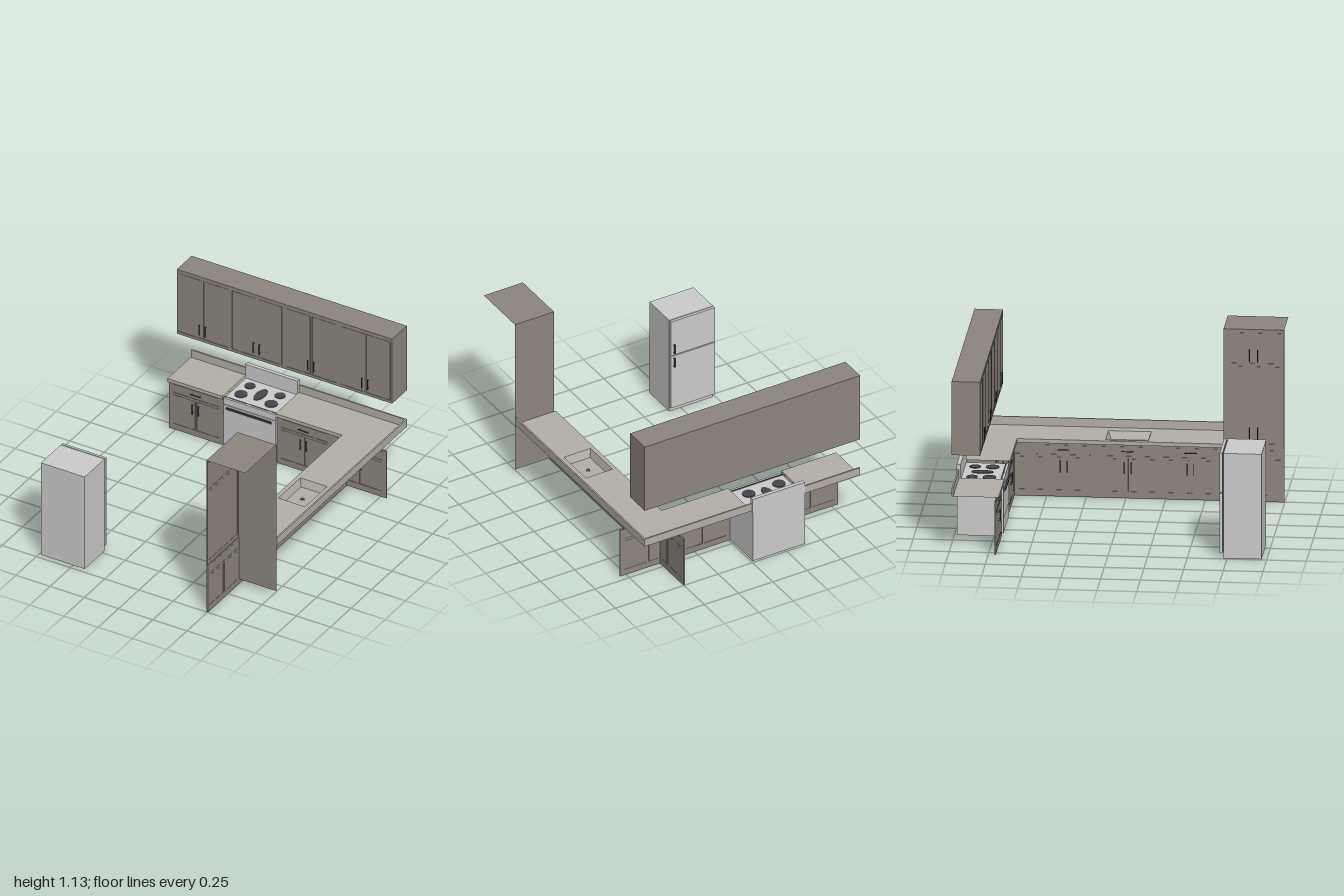
import * as THREE from 'three';

const mat = (color) => new THREE.MeshStandardMaterial({ color, side: THREE.DoubleSide });
const WOOD = mat(0x8d867d), STONE = mat(0xb4afa6), STEEL = mat(0xcccccc), DARK = mat(0x45454a);

function add(parent, name, geometry, material) {
  const mesh = new THREE.Mesh(geometry, material);
  mesh.name = name;
  parent.add(mesh);
  return mesh;
}

// Box between two corners; skip lists open sides (0 +x, 1 -x, 2 +y, 3 -y, 4 +z, 5 -z)
function box(x0, x1, y0, y1, z0, z1, skip = []) {
  const g = new THREE.BoxGeometry(x1 - x0, y1 - y0, z1 - z0);
  g.translate((x0 + x1) / 2, (y0 + y1) / 2, (z0 + z1) / 2);
  const index = Array.from(g.index.array).filter((_, i) => !skip.includes(Math.floor(i / 6)));
  g.setIndex(index);
  g.clearGroups();
  return g;
}

function outline(points, Type = THREE.Shape) {
  return new Type(points.map(([x, y]) => new THREE.Vector2(x, y)));
}
const rect = (x0, x1, y0, y1) => [[x0, y0], [x1, y0], [x1, y1], [x0, y1]];

// Bar handle on two posts, standing off a face at local z = 0.008
function handle(parent, u, y, length, vertical) {
  const g = new THREE.Group();
  g.name = 'handle';
  const bar = add(g, 'handleBar', new THREE.CylinderGeometry(0.003, 0.003, length, 8), DARK);
  bar.position.z = 0.02;
  for (const s of [-1, 1]) {
    const post = add(g, 'handlePost', new THREE.CylinderGeometry(0.002, 0.002, 0.014, 8), DARK);
    post.rotation.x = Math.PI / 2;
    post.position.set(0, s * length * 0.38, 0.013);
  }
  if (!vertical) g.rotation.z = Math.PI / 2;
  g.position.set(u, y, 0);
  parent.add(g);
}

// Face frame with recessed panels; it faces local +z
function fascia(name, u0, u1, y0, y1, panels, handles) {
  const g = new THREE.Group();
  g.name = name;
  const shape = outline(rect(u0, u1, y0, y1));
  for (const p of panels) shape.holes.push(outline(rect(...p), THREE.Path));
  add(g, name + 'Frame', new THREE.ExtrudeGeometry(shape, { depth: 0.008, bevelEnabled: false }), WOOD);
  for (const [a, b, c, d] of panels) {
    add(g, 'doorPanel', box(a, b, c, d, 0.002, 0.005), WOOD);
    const m = 0.004;
    add(g, 'doorFace', box(a + m, b - m, c + m, d - m, 0.001, 0.007), WOOD);
  }
  for (const h of handles) handle(g, ...h);
  return g;
}

// Base cabinet fronts: a drawer above a pair of doors at each centre
function baseFascia(name, u0, u1, centres) {
  const panels = [], handles = [];
  for (const c of centres) {
    panels.push([c - 0.17, c + 0.17, 0.275, 0.34]);
    handles.push([c, 0.308, 0.075, false]);
    for (const s of [-1, 1]) {
      const e = [c + s * 0.004, c + s * 0.17].sort((a, b) => a - b);
      panels.push([e[0], e[1], 0.043, 0.26]);
      handles.push([c + s * 0.022, 0.2, 0.075, true]);
    }
  }
  return fascia(name, u0, u1, 0, 0.35, panels, handles);
}

function upperCabinets() {
  const g = new THREE.Group();
  g.name = 'upperCabinets';
  add(g, 'upperCarcass', box(-0.797, 0.775, 0.648, 1.13, -0.98, -0.808), WOOD);
  const panels = [], handles = [];
  for (let i = 0; i < 4; i++) {
    const c = -0.607 + i * 0.396;
    for (const s of [-1, 1]) {
      const e = [c + s * 0.005, c + s * 0.183].sort((a, b) => a - b);
      panels.push([e[0], Math.min(e[1], 0.77), 0.668, 1.105]);
      handles.push([c + s * 0.022, 0.737, 0.075, true]);
    }
  }
  const front = fascia('upperFronts', -0.797, 0.775, 0.648, 1.13, panels, handles);
  front.position.z = -0.808;
  g.add(front);
  return g;
}

function pantry() {
  const g = new THREE.Group();
  g.name = 'pantry';
  // Only top and one side; open at the wall sides
  add(g, 'pantryShell', box(0.495, 0.775, 0.035, 1.13, 0.615, 0.997, [0, 1, 3, 4]), WOOD);
  const c = 0.805, panels = [], handles = [];
  for (const s of [-1, 1]) {
    const e = [c + s * 0.005, c + s * 0.175].sort((a, b) => a - b);
    panels.push([e[0], e[1], 0.38, 0.89], [e[0], e[1], 0.908, 1.11]);
    handles.push([c + s * 0.025, 0.45, 0.08, true], [c + s * 0.025, 0.96, 0.08, true]);
  }
  const front = fascia('pantryFronts', 0.615, 0.997, 0.35, 1.13, panels, handles);
  front.rotation.y = -Math.PI / 2;
  front.position.x = 0.498;
  g.add(front);
  return g;
}

function countertop() {
  const g = new THREE.Group();
  g.name = 'countertop';
  const top = 0.377, low = 0.352;
  // Flat sheets drawn in (x, -z)
  const left = outline(rect(-0.797, -0.395, 0.685, 0.98));
  const corner = outline([[-0.008, 0.98], [-0.008, 0.685], [0.477, 0.685], [0.477, -0.613], [0.777, -0.613], [0.777, 0.98]]);
  corner.holes.push(outline(rect(0.505, 0.7, -0.14, 0.13), THREE.Path));
  add(g, 'counterSheet', new THREE.ShapeGeometry([left, corner]).rotateX(-Math.PI / 2).translate(0, top, 0), STONE);
  // Front edges
  add(g, 'frontEdge', box(-0.797, -0.395, low, top, -0.688, -0.685), STONE);
  add(g, 'frontEdge', box(-0.008, 0.477, low, top, -0.688, -0.685), STONE);
  add(g, 'frontEdge', box(0.477, 0.48, low, top, -0.685, 0.613), STONE);
  // Backsplashes
  add(g, 'backsplash', box(-0.797, -0.395, top, 0.432, -0.98, -0.97), STONE);
  add(g, 'backsplash', box(-0.008, 0.777, top, 0.432, -0.98, -0.97), STONE);
  add(g, 'backsplash', box(0.767, 0.777, top, 0.432, -0.97, 0.613), STONE);
  // Sink basin tapering downwards
  const basin = box(0.505, 0.7, 0.325, top, -0.13, 0.14, [2]);
  const p = basin.attributes.position;
  for (let i = 0; i < p.count; i++) {
    if (p.getY(i) > 0.35) continue;
    p.setX(i, 0.6025 + (p.getX(i) - 0.6025) * 0.84);
    p.setZ(i, 0.005 + (p.getZ(i) - 0.005) * 0.86);
  }
  basin.computeVertexNormals();
  add(g, 'sinkBasin', basin, STONE);
  add(g, 'sinkDrain', new THREE.CylinderGeometry(0.018, 0.014, 0.012, 20).translate(0.602, 0.321, 0.005), STONE);
  add(g, 'drainHole', new THREE.CylinderGeometry(0.012, 0.012, 0.002, 20).translate(0.602, 0.328, 0.005), DARK);
  return g;
}

function stove() {
  const g = new THREE.Group();
  g.name = 'stove';
  add(g, 'stoveBody', box(-0.39, -0.012, 0, 0.362, -0.985, -0.705), STEEL);
  add(g, 'controlPanel', box(-0.393, -0.01, 0.32, 0.365, -0.705, -0.69), STEEL);
  add(g, 'ovenDoor', box(-0.39, -0.012, 0.022, 0.315, -0.705, -0.69), STEEL);
  add(g, 'ovenWindow', box(-0.37, -0.035, 0.117, 0.283, -0.69, -0.688), STEEL);
  add(g, 'ovenHandle', box(-0.368, -0.038, 0.293, 0.303, -0.688, -0.678), DARK);
  add(g, 'backGuard', box(-0.393, -0.01, 0.36, 0.465, -0.985, -0.96), STEEL);
  add(g, 'cooktopTrim', box(-0.393, -0.01, 0.362, 0.366, -0.712, -0.702), DARK);
  for (const [x, z, r, s] of [[-0.32, -0.785, 0.042, 1], [-0.1, -0.785, 0.042, 1],
    [-0.32, -0.895, 0.035, 1], [-0.1, -0.895, 0.035, 1], [-0.21, -0.84, 0.033, 2.1]]) {
    const burner = add(g, 'burner', new THREE.CylinderGeometry(r, r, 0.004, 28), DARK);
    burner.scale.z = s;
    burner.position.set(x, 0.364, z);
  }
  return g;
}

function refrigerator() {
  const g = new THREE.Group();
  g.name = 'refrigerator';
  const x0 = -0.736, x1 = -0.416;
  add(g, 'refrigeratorBody', box(x0, x1, 0, 0.688, 0.726, 0.967, [3]), STEEL);
  add(g, 'doorSeal', box(x0 + 0.01, x1 - 0.01, 0.04, 0.68, 0.718, 0.727), DARK);
  add(g, 'lowerDoor', box(x0, x1, 0.035, 0.425, 0.703, 0.72), STEEL);
  add(g, 'freezerDoor', box(x0, x1, 0.432, 0.688, 0.703, 0.72), STEEL);
  for (const [y0, y1] of [[0.345, 0.41], [0.447, 0.512]]) {
    add(g, 'doorHandle', box(-0.443, -0.435, y0, y1, 0.69, 0.696), DARK);
    for (const y of [y0, y1 - 0.008]) add(g, 'handlePost', box(-0.443, -0.435, y, y + 0.008, 0.694, 0.704), DARK);
  }
  return g;
}

export function createModel() {
  const model = new THREE.Group();
  model.name = 'kitchen';
  // Two runs of base fronts that cross at the corner
  const backLeft = baseFascia('backBaseLeft', -0.797, -0.395, [-0.598]);
  const backRight = baseFascia('backBaseRight', -0.008, 0.793, [0.19, 0.592]);
  backLeft.position.z = backRight.position.z = -0.71;
  const side = baseFascia('sideBase', -1, 0.998, [0.803, 0.406, 0.01, -0.393, -0.797]);
  side.rotation.y = -Math.PI / 2;
  side.position.x = 0.502;
  model.add(backLeft, backRight, side, upperCabinets(), pantry(), countertop(), stove(), refrigerator());
  return model;
}
